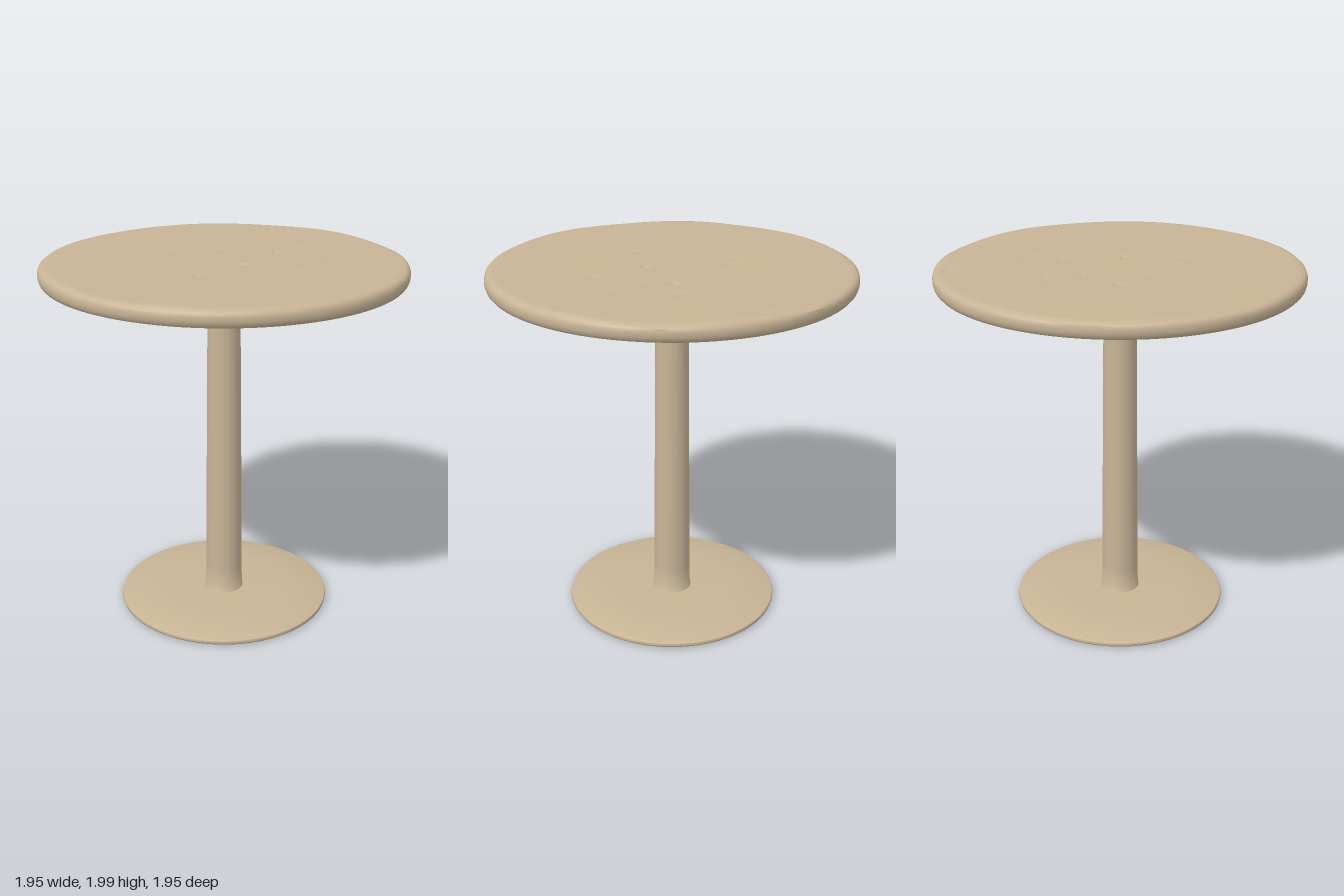
import * as THREE from 'three';
import { toCreasedNormals } from 'three/addons/utils/BufferGeometryUtils.js';

const SEGMENTS = 96;

// Turned part from [radius, height] pairs, listed from the bottom centre to the top centre
function turned(name, profile, material, warp) {
  const points = profile.map(([r, y]) => new THREE.Vector2(r, y));
  const geometry = new THREE.LatheGeometry(points, SEGMENTS);
  if (warp) {
    const pos = geometry.attributes.position;
    for (let i = 0; i < pos.count; i++) {
      pos.setY(i, warp(pos.getX(i), pos.getY(i), pos.getZ(i)));
    }
  }
  const mesh = new THREE.Mesh(toCreasedNormals(geometry, 0.7), material);
  mesh.name = name;
  return mesh;
}

// Small dents in the table surface: x, z, radius, depth
const dents = [
  [0.55, -0.71, 0.05, 0.015], [0.37, -0.66, 0.04, 0.012], [0.08, -0.46, 0.04, 0.02],
  [-0.25, -0.26, 0.04, 0.018], [0.01, -0.26, 0.03, 0.018], [0.30, -0.14, 0.04, 0.02],
  [0.45, -0.23, 0.06, 0.012], [0.55, 0.09, 0.04, 0.02], [0.08, 0.11, 0.04, 0.02],
  [0.35, 0.29, 0.04, 0.02], [-0.17, 0.31, 0.04, 0.02], [-0.58, 0.53, 0.04, 0.012],
  [-0.23, -0.04, 0.03, 0.012], [0.36, 0.01, 0.05, 0.01], [-0.37, 0.22, 0.03, 0.01],
];

// Faint waviness plus the dents, on the upper surface only
function wornSurface(x, y, z) {
  if (y < 1.985) return y;
  let h = y - 0.003 + 0.003 * Math.sin(4 * x + 7 * z) * Math.cos(3 * x - 2 * z);
  for (const [dx, dz, radius, depth] of dents) {
    const d = Math.hypot(x - dx, z - dz) / radius;
    if (d < 1) h -= depth * (1 - d) ** 2;
  }
  return h;
}

export function createModel() {
  const wood = new THREE.MeshStandardMaterial({ color: 0xc8b496 });
  wood.name = 'tan wood';
  const table = new THREE.Group();
  table.name = 'pedestalTable';

  // Round top with softened rim and a finely divided upper surface
  const topProfile = [
    [0, 1.905], [0.945, 1.905], [0.96, 1.91], [0.97, 1.922], [0.975, 1.94],
    [0.975, 1.962], [0.97, 1.978], [0.96, 1.99], [0.945, 1.997],
  ];
  const rings = 40;
  for (let i = 1; i <= rings; i++) topProfile.push([0.945 * (1 - i / rings), 1.998]);
  table.add(turned('tableTop', topProfile, wood, wornSurface));

  // Mounting disc beneath the top
  table.add(turned('mountingDisc', [
    [0, 1.886], [0.555, 1.886], [0.567, 1.892], [0.575, 1.907], [0, 1.907],
  ], wood));

  // Slightly tapered column with a small flare at the foot
  table.add(turned('column', [
    [0, 0.03], [0.118, 0.045], [0.106, 0.06], [0.103, 0.2], [0.099, 0.7],
    [0.094, 1.2], [0.088, 1.8], [0.088, 1.89], [0, 1.89],
  ], wood));

  // Thin foot plate, rising gently to the column
  table.add(turned('basePlate', [
    [0, 0.003], [0.583, 0.003], [0.593, 0.01], [0.596, 0.02],
    [0.593, 0.03], [0.58, 0.036], [0.35, 0.044], [0.12, 0.054], [0, 0.055],
  ], wood));

  return table;
}
